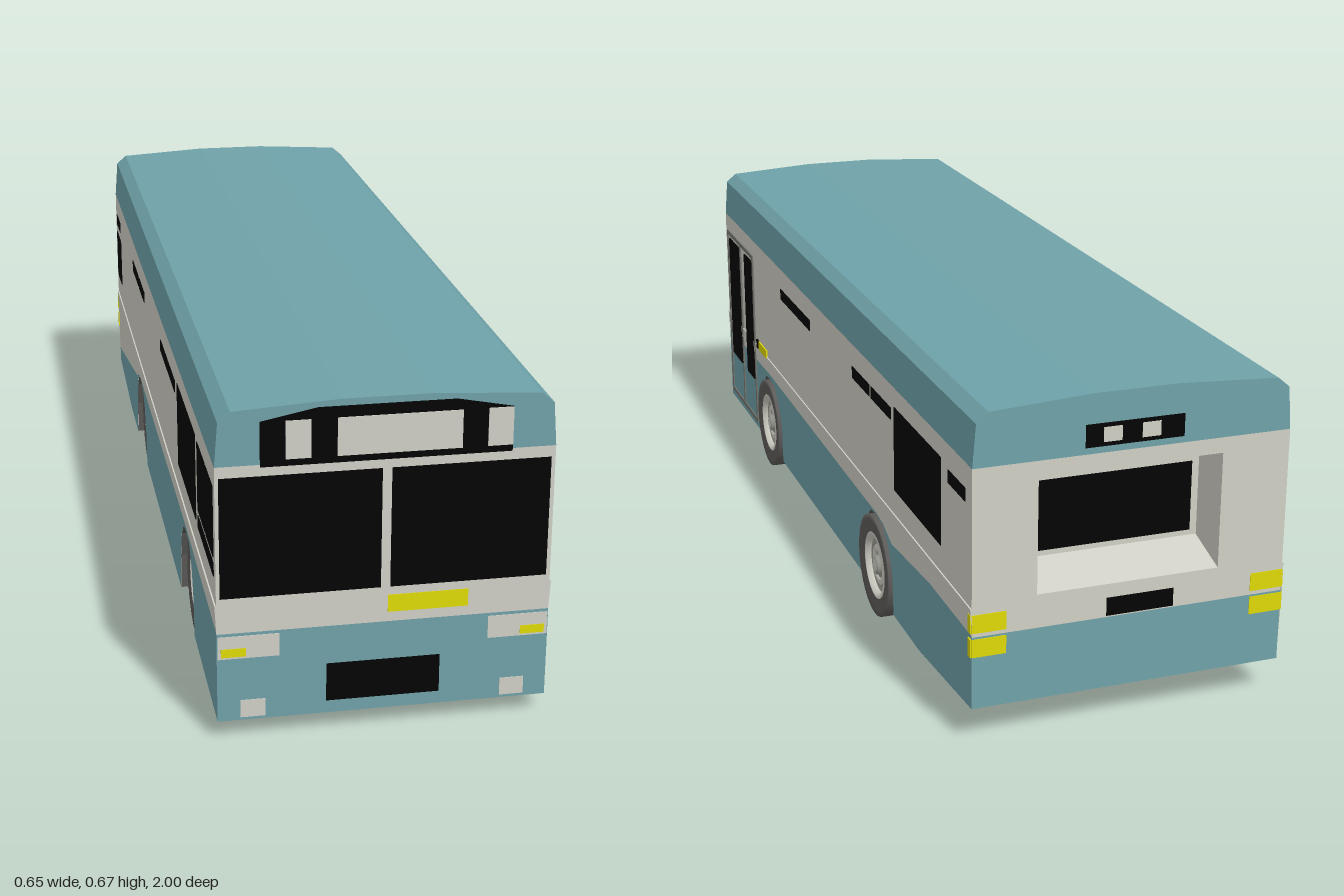
import * as THREE from 'three';

const paint = (name, color) => {
  const m = new THREE.MeshStandardMaterial({ color, side: THREE.DoubleSide });
  m.name = name;
  return m;
};

export function createModel() {
  const teal = paint('teal', 0x6fa2a9), cream = paint('cream', 0xd1d0c6), black = paint('black', 0x040404);
  const yellow = paint('yellow', 0xdfda06), rubber = paint('rubber', 0x5e5c5a), under = paint('wheel arch grey', 0x5c5b5a);
  const metal = paint('metal', 0x9c9c95), trim = paint('door trim', 0x74746f);
  const bus = new THREE.Group();
  bus.name = 'bus';
  const CX = -0.0025, END = 0.9975, SILL = 0.045, WAIST = 0.28, CANT = 0.555, BAND = 0.222;
  const HALF = 0.3175, FLARE = 0.003;

  const add = (name, geo, mat, parent = bus) => {
    const m = new THREE.Mesh(geo, mat);
    m.name = name;
    parent.add(m);
    return m;
  };
  // half width of the body below the waist, flaring out to a small lip
  const halfWidth = y => HALF + FLARE * Math.max(0, (y - BAND) / (WAIST - BAND));
  const V = (x, y, z) => new THREE.Vector3(x, y, z);
  // flat-shaded quads between two matching polylines
  const strip = (a, b) => {
    const pts = [];
    for (let i = 0; i < a.length - 1; i++) pts.push(a[i], b[i], b[i + 1], a[i], b[i + 1], a[i + 1]);
    const g = new THREE.BufferGeometry().setFromPoints(pts);
    g.computeVertexNormals();
    return g;
  };
  const shapeOf = pts => new THREE.Shape(pts.map(p => new THREE.Vector2(p[0], p[1])));
  const rect = (x0, x1, y0, y1) => [[x0, y0], [x1, y0], [x1, y1], [x0, y1]];

  // side panel drawn in (z, y) and wrapped on to the body side
  const sidePanel = (name, side, pts, mat, width) => {
    const g = new THREE.ShapeGeometry(shapeOf(pts.map(([z, y]) => [-side * z, y])));
    const p = g.attributes.position;
    for (let i = 0; i < p.count; i++) {
      const y = p.getY(i);
      p.setXYZ(i, CX + side * width(y), y, -side * p.getX(i));
    }
    g.computeVertexNormals();
    add(name, g, mat);
  };
  // panel across an end of the body, drawn in (x, y)
  const endPanel = (name, end, pts, mat, hole) => {
    const s = shapeOf(pts.map(([x, y]) => [end * x, y]));
    if (hole) s.holes.push(new THREE.Path(hole.map(([x, y]) => new THREE.Vector2(end * x, y))));
    const g = new THREE.ShapeGeometry(s);
    if (end < 0) g.rotateY(Math.PI);
    g.translate(0, 0, end * END);
    return add(name, g, mat);
  };
  // thin plates for painted details, resting just off the panels
  const GAP = 0.0004;
  const endPlate = (name, end, x0, x1, y0, y1, mat, layer = 0) => {
    const t = 0.0011 + layer * 0.0009;
    add(name, new THREE.BoxGeometry(x1 - x0, y1 - y0, t), mat)
      .position.set((x0 + x1) / 2, (y0 + y1) / 2, end * (END + GAP + t / 2));
  };
  const sidePlate = (name, side, z0, z1, y0, y1, mat, t = 0.0015) =>
    add(name, new THREE.BoxGeometry(t, y1 - y0, z1 - z0), mat)
      .position.set(CX + side * (HALF + GAP + t / 2), (y0 + y1) / 2, (z0 + z1) / 2);

  // wheel arches: outline from front to rear
  const wheelZ = [0.54, -0.395];
  const archLine = [[0.115, SILL], [0.106, 0.125], [0.085, 0.185], [0.045, 0.222], [0, 0.228],
    [-0.045, 0.222], [-0.085, 0.185], [-0.106, 0.125], [-0.115, SILL]];
  const arches = wheelZ.map(z => archLine.map(([dz, y]) => [z + dz, y]));
  for (const a of arches) {
    add('wheelArch', strip(a.map(([z, y]) => V(CX + 0.317, y, z)), a.map(([z, y]) => V(CX - 0.317, y, z))), under);
  }

  // sides: skirt, waist band with lip, and upper wall
  for (const side of [1, -1]) {
    const bottom = [[END, 0.04], ...arches[0], ...arches[1], [-0.68, SILL], [-END, 0.075]];
    const rear = side > 0 ? [[-END, 0.225], [-0.75, 0.224], [-0.5, 0.203]] : [[-END, 0.11], [-0.5, 0.203]];
    const line = [...rear, [-0.44, 0.225], [-0.395, 0.231], [-0.3, 0.231], [0.54, 0.24], [END, 0.225]];
    sidePanel('skirt', side, [...bottom, ...line], teal, halfWidth);
    sidePanel('waistPanel', side, [...line, [END, WAIST], [-END, WAIST]], cream, halfWidth);
    sidePanel('upperWall', side, rect(-END, END, WAIST, CANT), cream, () => HALF);
    const edge = w => [V(CX + side * w, WAIST, side * END), V(CX + side * w, WAIST, -side * END)];
    add('waistLip', strip(edge(HALF), edge(HALF + FLARE)), cream);
  }

  // roof
  const roofHalf = [[HALF, CANT], [0.3105, 0.64], [0.287, 0.66], [0.083, 0.672]];
  const roof = [...roofHalf.map(([x, y]) => [CX + x, y]), ...roofHalf.map(([x, y]) => [CX - x, y]).reverse()];
  add('roof', strip(roof.map(([x, y]) => V(x, y, END)), roof.map(([x, y]) => V(x, y, -END))), teal);

  // front and rear walls
  const recess = [-0.182, 0.187, 0.29, 0.524];
  const L = CX - HALF, R = CX + HALF;
  for (const end of [1, -1]) {
    endPanel('roofEnd', end, roof, teal);
    const wall = [[L, BAND], [R, BAND], [R + FLARE, WAIST], [R, WAIST], [R, CANT], [L, CANT], [L, WAIST], [L - FLARE, WAIST]];
    endPanel('endWall', end, wall, cream, end < 0 ? rect(...recess) : null);
    endPanel('bumper', end, rect(L, R, end > 0 ? 0.04 : 0.075, BAND), teal);
  }

  // recessed rear window
  const inner = [-0.182, 0.187, 0.32, 0.49], IZ = -0.897;
  const loop = (r, z) => [...rect(...r), rect(...r)[0]].map(([x, y]) => V(x, y, z));
  add('rearRecess', strip(loop(recess, -END), loop(inner, IZ)), cream);
  add('rearRecessBack', new THREE.BoxGeometry(0.369, 0.17, 0.004), cream).position.set(0.0025, 0.405, IZ);
  add('rearWindow', new THREE.BoxGeometry(0.335, 0.142, 0.006), black).position.set(0.001, 0.403, IZ - 0.002);

  // floor and closed rear underside
  add('floor', strip([V(R, 0.26, END), V(R, 0.26, -END)], [V(L, 0.26, END), V(L, 0.26, -END)]), cream);
  const tail = [[-0.51, SILL], [-0.68, SILL], [-END, 0.075]];
  add('rearUnderside', strip(tail.map(([z, y]) => V(R, y, z)), tail.map(([z, y]) => V(L, y, z))), cream);

  // front details
  endPanel('signBoard', 1, [[-0.237, 0.55], [0.232, 0.55], [0.232, 0.638], [0.125, 0.659], [-0.13, 0.659], [-0.237, 0.638]], black)
    .position.z = 0.0008;
  for (const [a, b] of [[-0.19, -0.143], [-0.095, 0.137], [0.185, 0.232]]) endPlate('signPanel', 1, a, b, 0.563, 0.637, cream, 1);
  endPlate('windscreenRight', 1, -0.313, -0.011, 0.294, 0.533, black);
  endPlate('windscreenLeft', 1, 0.007, 0.307, 0.294, 0.533, black);
  endPlate('frontPlate', 1, 0.003, 0.157, 0.242, 0.277, yellow);
  endPlate('grille', 1, -0.113, 0.105, 0.066, 0.144, black);
  for (const s of [1, -1]) {
    const span = (a, b) => [CX + s * a, CX + s * b].sort((p, q) => p - q);
    endPlate('headlight', 1, ...span(0.2, 0.316), 0.17, 0.216, cream);
    endPlate('indicator', 1, ...span(0.263, 0.31), 0.174, 0.191, yellow, 1);
    endPlate('fogLight', 1, ...span(0.227, 0.274), 0.046, 0.082, cream);
    // rear lamps wrap round the corner
    for (const [y0, y1] of [[0.181, 0.218], [0.23, 0.267]]) {
      endPlate('rearLamp', -1, ...span(0.25, HALF), y0, y1, yellow);
      sidePlate('rearLampSide', s, -END, -0.983, y0, y1, yellow, 0.0028);
    }
  }

  // rear details
  endPlate('rearSign', -1, -0.1, 0.097, 0.568, 0.613, black);
  endPlate('rearSignPanel', -1, 0.025, 0.062, 0.576, 0.605, cream, 1);
  endPlate('rearSignPanel', -1, -0.052, -0.015, 0.576, 0.605, cream, 1);
  endPlate('rearPlate', -1, -0.09, 0.047, 0.225, 0.262, black);

  // windows shared by both sides
  for (const s of [1, -1]) {
    for (const [a, b] of [[0.267, 0.396], [0.123, 0.262], [-0.358, -0.23], [-0.508, -0.369], [-0.963, -0.866]])
      sidePlate('ventWindow', s, a, b, 0.48, 0.506, black);
  }
  // windows of the left side only
  sidePlate('sideWindow', 1, -0.824, -0.53, 0.335, 0.515, black);
  // windows of the right side only
  sidePlate('sideWindow', -1, 0.435, 0.725, 0.335, 0.515, black);
  sidePlate('driverWindowRear', -1, 0.757, 0.868, 0.37, 0.512, black);
  sidePlate('driverWindowFront', -1, 0.878, 0.978, 0.37, 0.512, black);
  sidePlate('driverLowerWindow', -1, 0.757, 0.978, 0.332, 0.359, black);
  sidePlate('engineGrille', -1, -0.97, -0.86, 0.335, 0.457, black);

  // door and side marker, standing just clear of the lip
  for (const z of [0.968, 0.829, 0.689]) sidePlate('doorPost', 1, z - 0.005, z + 0.005, 0.06, 0.515, trim, 0.0032);
  for (const y of [0.065, 0.51]) sidePlate('doorRail', 1, 0.684, 0.973, y - 0.005, y + 0.005, trim, 0.0032);
  sidePlate('doorGlassFront', 1, 0.845, 0.952, 0.175, 0.496, black, 0.0034);
  sidePlate('doorGlassRear', 1, 0.706, 0.781, 0.175, 0.496, black, 0.0034);
  sidePlate('sideMarker', 1, 0.561, 0.642, 0.275, 0.297, yellow, 0.0034);
  sidePlate('doorButton', 1, 0.647, 0.668, 0.275, 0.297, black, 0.0034);

  // wheels: square-shouldered tyre with the same rim and hub on both faces
  const lathe = pts => new THREE.LatheGeometry(pts.map(p => new THREE.Vector2(p[0], p[1])), 28);
  const wheelParts = [
    ['tyre', rubber, [[0.111, 0], [0.111, 0.033], [0.1, 0.033], [0.073, 0.031]]],
    ['rim', cream, [[0.073, 0.031], [0.066, 0.032], [0.06, 0.02]]],
    ['dish', metal, [[0.06, 0.02], [0.046, 0.016], [0.044, 0.022]]],
    ['ring', cream, [[0.044, 0.022], [0.034, 0.025], [0.03, 0.02]]],
    ['hub', metal, [[0.03, 0.02], [0.022, 0.02], [0.021, 0.028], [0.014, 0.031]]],
    ['hubCap', cream, [[0.014, 0.031], [0.0001, 0.032]]],
  ].map(([name, mat, pts]) => [name, lathe(pts), mat]);
  for (const z of wheelZ) for (const x of [0.29, -0.2735]) {
    const wheel = new THREE.Group();
    wheel.name = 'wheel';
    for (const face of [1, -1]) {
      for (const [name, geo, mat] of wheelParts) add(name, geo, mat, wheel).rotation.z = -face * Math.PI / 2;
    }
    wheel.position.set(x, 0.111, z);
    bus.add(wheel);
  }
  return bus;
}
